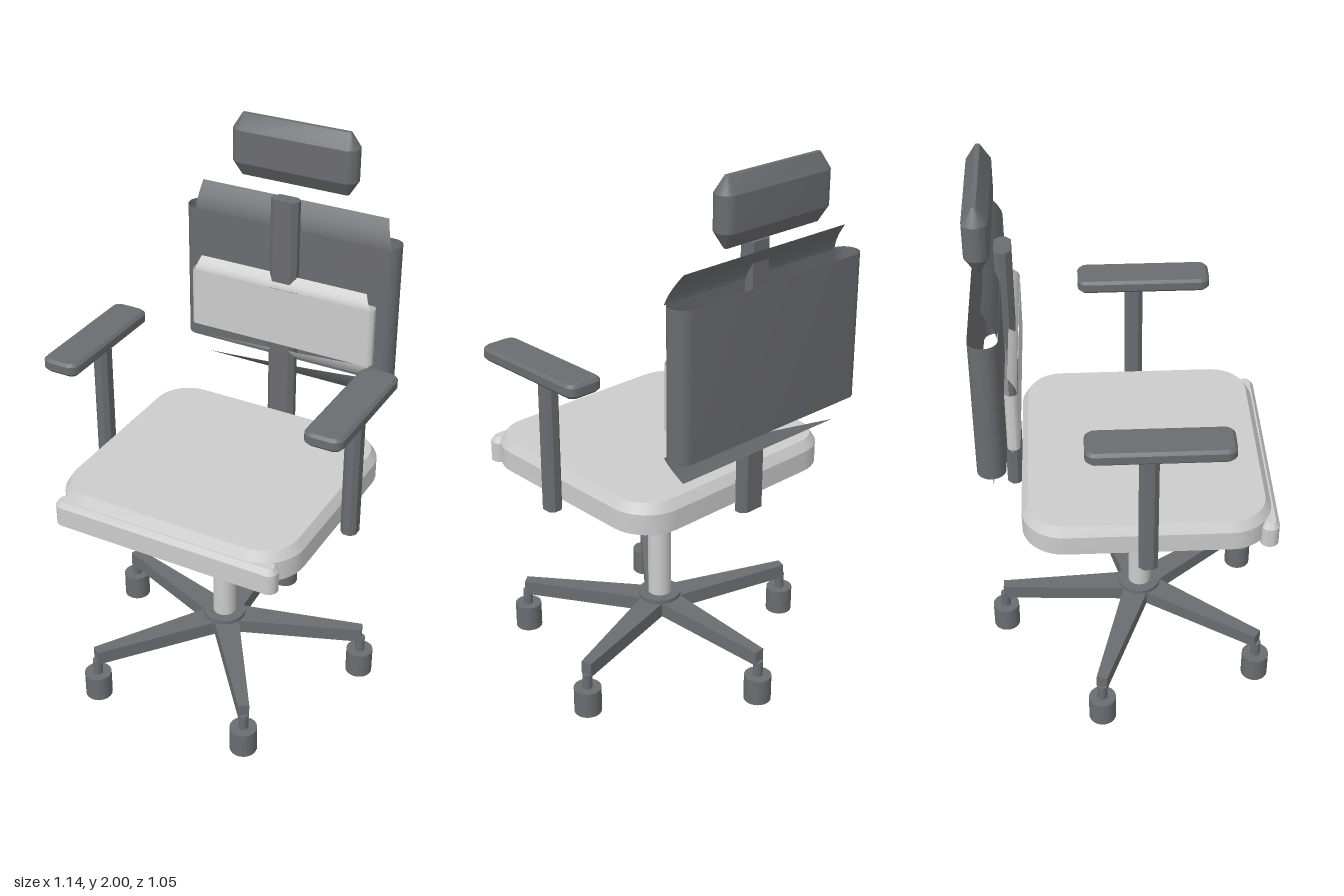
import * as THREE from 'three';
import { toCreasedNormals } from 'three/addons/utils/BufferGeometryUtils.js';

const light = new THREE.MeshStandardMaterial({ color: 0xcccccc, side: THREE.DoubleSide });
const dark = new THREE.MeshStandardMaterial({ color: 0x6b6c70, side: THREE.DoubleSide });

function build(points, index) {
  const g = new THREE.BufferGeometry();
  g.setAttribute('position', new THREE.Float32BufferAttribute(points, 3));
  g.setIndex(index);
  return toCreasedNormals(g, 0.5);
}

// Rounded rectangle stacked along y; levels are [y, inset] from bottom to top
function loft(w, d, r, levels, { steps = 6, capped = true } = {}) {
  const pts = [], idx = [], n = 4 * (steps + 1);
  for (const [y, inset] of levels) {
    const rr = Math.max(r - inset, 0.003);
    const cx = w / 2 - inset - rr, cz = d / 2 - inset - rr;
    for (let c = 0; c < 4; c++) {
      const sx = c === 0 || c === 3 ? 1 : -1, sz = c < 2 ? 1 : -1;
      for (let i = 0; i <= steps; i++) {
        const a = (c + i / steps) * Math.PI / 2;
        pts.push(sx * cx + rr * Math.cos(a), y, sz * cz + rr * Math.sin(a));
      }
    }
  }
  for (let l = 0; l < levels.length - 1; l++) {
    for (let i = 0; i < n; i++) {
      const a = l * n + i, b = l * n + (i + 1) % n;
      idx.push(a, a + n, b, b, a + n, b + n);
    }
  }
  if (capped) {
    const top = (levels.length - 1) * n;
    for (let i = 1; i < n - 1; i++) {
      idx.push(0, i, i + 1, top, top + i + 1, top + i);
    }
  }
  return build(pts, idx);
}

// Thin curved flap running from a start edge to an end edge: [y, z, xLeft, xRight]
function flap(start, end) {
  const pts = [], idx = [], rows = 8, mix = THREE.MathUtils.lerp;
  for (let i = 0; i <= rows; i++) {
    const t = i / rows;
    const y = mix(start[0], end[0], t), z = mix(start[1], end[1], t ** 1.6);
    pts.push(mix(start[2], end[2], t), y, z, mix(start[3], end[3], t), y, z);
    if (i < rows) {
      const a = 2 * i;
      if (end[0] > start[0]) idx.push(a, a + 1, a + 3, a, a + 3, a + 2);
      else idx.push(a, a + 3, a + 1, a, a + 2, a + 3);
    }
  }
  return build(pts, idx);
}

function cylinder(r, y0, y1, sides = 32) {
  return new THREE.CylinderGeometry(r, r, y1 - y0, sides).translate(0, (y0 + y1) / 2, 0);
}

export function createModel() {
  const chair = new THREE.Group();
  chair.name = 'officeChair';
  const add = (name, geometry, material, x = 0, z = 0, parent = chair) => {
    const mesh = new THREE.Mesh(geometry, material);
    mesh.name = name;
    mesh.position.set(x, 0, z);
    parent.add(mesh);
    return mesh;
  };
  const centreZ = 0.05;

  // Seat cushion, front roll and mounting plate
  add('seat', loft(0.925, 0.87, 0.15, [[0.785, 0], [0.86, 0], [0.895, 0.022]], { steps: 10 }), light, 0, 0.055);
  add('seatFrontRoll', loft(0.87, 0.065, 0.032, [[0.765, 0], [0.84, 0], [0.86, 0.014]]), light, 0, 0.478);
  add('seatPlate', loft(0.45, 0.47, 0.02, [[0.75, 0.01], [0.76, 0], [0.785, 0]], { steps: 1 }), dark, 0, centreZ);

  // Gas column
  add('columnCollar', cylinder(0.055, 0.635, 0.755), dark, 0, centreZ);
  add('columnShaft', cylinder(0.043, 0.2, 0.64), light, 0, centreZ);
  add('hub', cylinder(0.08, 0.15, 0.22), dark, 0, centreZ);

  // Five-star base, one leg pointing straight back
  const reach = 0.526;
  const legShape = new THREE.Shape([
    new THREE.Vector2(0, -0.05), new THREE.Vector2(reach + 0.005, -0.02),
    new THREE.Vector2(reach + 0.005, 0.02), new THREE.Vector2(0, 0.05),
  ]);
  const legGeometry = new THREE.ExtrudeGeometry(legShape, { depth: 0.055, bevelEnabled: false })
    .rotateX(-Math.PI / 2).translate(0, 0.15, 0);
  for (let i = 0; i < 5; i++) {
    const leg = new THREE.Group();
    leg.name = 'baseLeg';
    leg.position.z = centreZ;
    leg.rotation.y = Math.PI / 2 + i * Math.PI * 2 / 5;
    add('legArm', legGeometry, dark, 0, 0, leg);
    add('casterStem', cylinder(0.018, 0.09, 0.16, 16), dark, reach, 0, leg);
    add('caster', cylinder(0.05, 0, 0.1, 24), dark, reach, 0, leg);
    chair.add(leg);
  }

  // Armrests
  for (const side of [1, -1]) {
    const arm = new THREE.Group();
    arm.name = side > 0 ? 'leftArmrest' : 'rightArmrest';
    add('armPost', loft(0.058, 0.066, 0.016, [[0.765, 0], [1.265, 0]], { steps: 1 }), dark, side * 0.502, centreZ, arm);
    add('armPad', loft(0.14, 0.49, 0.035, [[1.258, 0.012], [1.27, 0], [1.298, 0], [1.308, 0.01]]), dark, side * 0.502, 0.085, arm);
    chair.add(arm);
  }

  // Back post
  add('backPost', loft(0.108, 0.057, 0.018, [[0.765, 0], [1.74, 0]], { steps: 1 }), dark, 0, -0.407);

  // Backrest: open sleeve with curved flaps along its front edges
  const back = new THREE.Group();
  back.name = 'backrest';
  add('backSleeve', loft(0.85, 0.098, 0.048, [[1.1, 0], [1.625, 0]], { capped: false }), dark, 0, -0.467, back);
  add('backTopFlap', flap([1.62, -0.42, -0.375, 0.41], [1.72, -0.467, -0.368, 0.37]), dark, 0, 0, back);
  add('backBottomFlap', flap([1.1, -0.42, 0.37, 0.41], [1.01, -0.467, -0.35, 0.37]), dark, 0, 0, back);
  chair.add(back);

  // Lumbar pad, made the same way
  const lumbar = new THREE.Group();
  lumbar.name = 'lumbarPad';
  add('lumbarSleeve', loft(0.74, 0.044, 0.02, [[1.175, 0], [1.4, 0]], { capped: false }), light, 0, -0.39, lumbar);
  add('lumbarTopFlap', flap([1.4, -0.37, -0.355, 0.36], [1.448, -0.4, -0.34, 0.33]), light, 0, 0, lumbar);
  add('lumbarBottomFlap', flap([1.175, -0.37, 0.33, 0.365], [1.12, -0.4, -0.33, 0.34]), light, 0, 0, lumbar);
  chair.add(lumbar);

  // Headrest
  add('headrest', loft(0.49, 0.084, 0.041, [[1.77, 0.034], [1.825, 0], [1.945, 0], [2.0, 0.034]]), dark, 0, -0.478);

  return chair;
}
